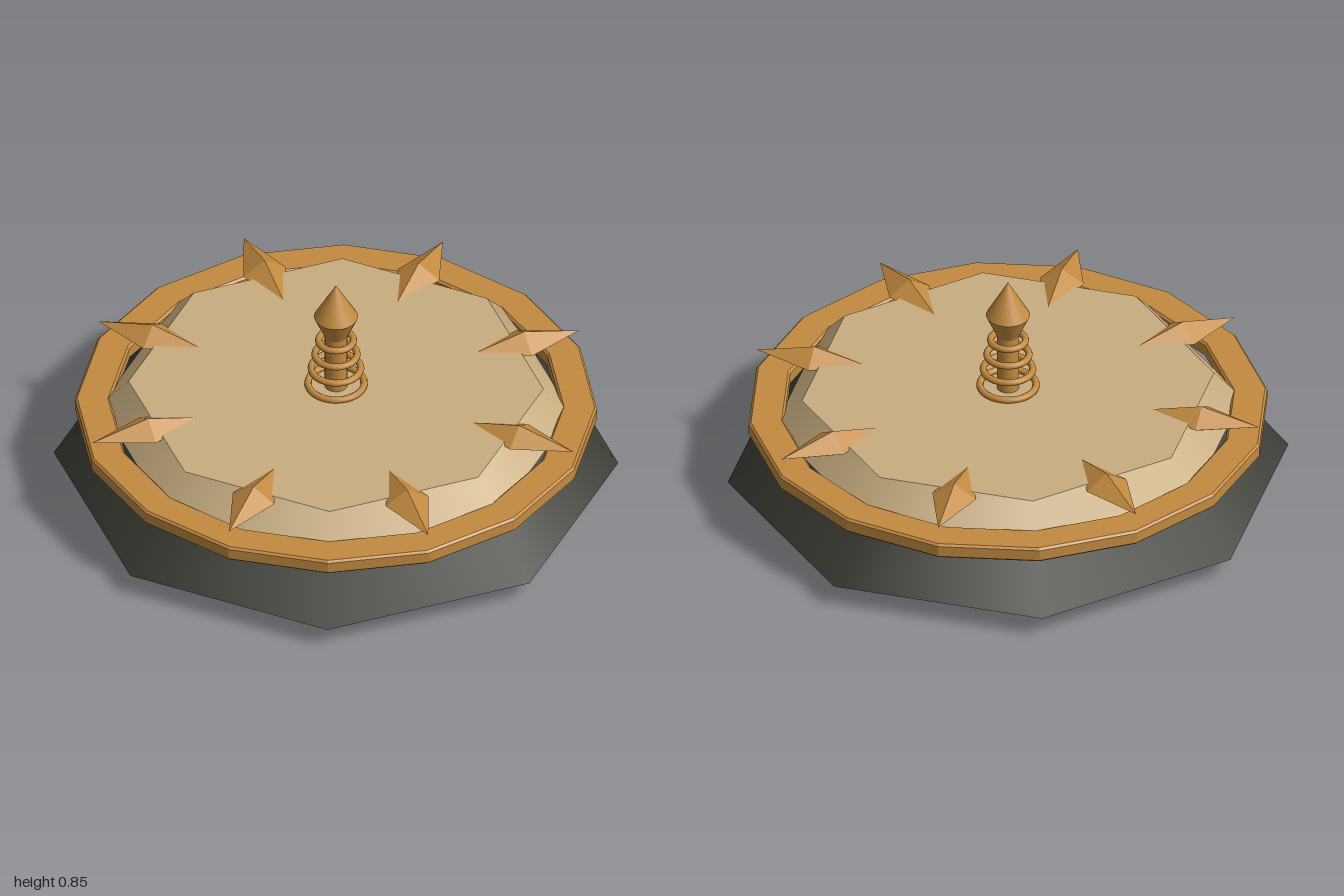
import * as THREE from 'three';

export function createModel() {
  const model = new THREE.Group();
  const material = (name, color) => {
    const m = new THREE.MeshStandardMaterial({ color });
    m.name = name;
    return m;
  };
  const dark = material('charcoal', 0x3c3c35);
  const cream = material('cream', 0xc8ad80);
  const gold = material('bronze', 0xc28a40);

  const add = (name, geometry, mat, y = 0, parent = model) => {
    const mesh = new THREE.Mesh(geometry, mat);
    mesh.name = name;
    mesh.position.y = y;
    parent.add(mesh);
    return mesh;
  };

  // Faceted flat ring with a slightly bevelled rectangular section
  const flatRing = (inner, outer, bottom, top, b = 0.008) => {
    const profile = [
      [inner, bottom + b], [inner + b, bottom], [outer - b, bottom], [outer, bottom + b],
      [outer, top - b], [outer - b, top], [inner + b, top], [inner, top - b], [inner, bottom + b],
    ].map(([r, y]) => new THREE.Vector2(r, y));
    const geometry = new THREE.LatheGeometry(profile, 16).toNonIndexed();
    geometry.computeVertexNormals();
    return geometry;
  };

  // Eight-sided body and lid
  add('base', new THREE.CylinderGeometry(0.835, 1, 0.215, 8), dark, 0.1875);
  add('lid', new THREE.CylinderGeometry(0.735, 0.835, 0.11, 8), cream, 0.35);

  // Rim, foot ring and underside boss
  add('rim', flatRing(0.8, 0.925, 0.27, 0.327), gold);
  add('footRing', flatRing(0.61, 0.71, 0, 0.053), gold);
  const boss = add('underBoss',
    new THREE.SphereGeometry(0.16, 32, 10, 0, Math.PI * 2, Math.PI / 2, Math.PI / 2), gold, 0.081);
  boss.scale.y = 0.4;

  // Eight diamond spikes radiating over the rim
  const spikes = new THREE.Group();
  spikes.name = 'spikes';
  model.add(spikes);
  for (let i = 0; i < 8; i++) {
    const angle = (i + 0.5) * Math.PI / 4;
    const spike = add('spike', new THREE.OctahedronGeometry(1), gold, 0.398, spikes);
    spike.scale.set(0.08, 0.051, 0.21);
    spike.position.x = Math.sin(angle) * 0.712;
    spike.position.z = Math.cos(angle) * 0.712;
    spike.rotation.y = angle;
  }

  // Central finial: post, stacked hoops and spear head
  const finial = new THREE.Group();
  finial.name = 'finial';
  model.add(finial);
  add('post', new THREE.CylinderGeometry(0.04, 0.04, 0.24, 24), gold, 0.515, finial);
  [[0.415, 0.1], [0.481, 0.088], [0.543, 0.075], [0.605, 0.062]].forEach(([y, r]) => {
    const hoop = add('hoop', new THREE.TorusGeometry(r, 0.0125, 10, 32), gold, y, finial);
    hoop.rotation.x = Math.PI / 2;
  });
  add('spearNeck', new THREE.CylinderGeometry(0.078, 0.038, 0.09, 24, 1, true), gold, 0.667, finial);
  add('spearTip', new THREE.ConeGeometry(0.078, 0.138, 24, 1, true), gold, 0.781, finial);

  return model;
}
